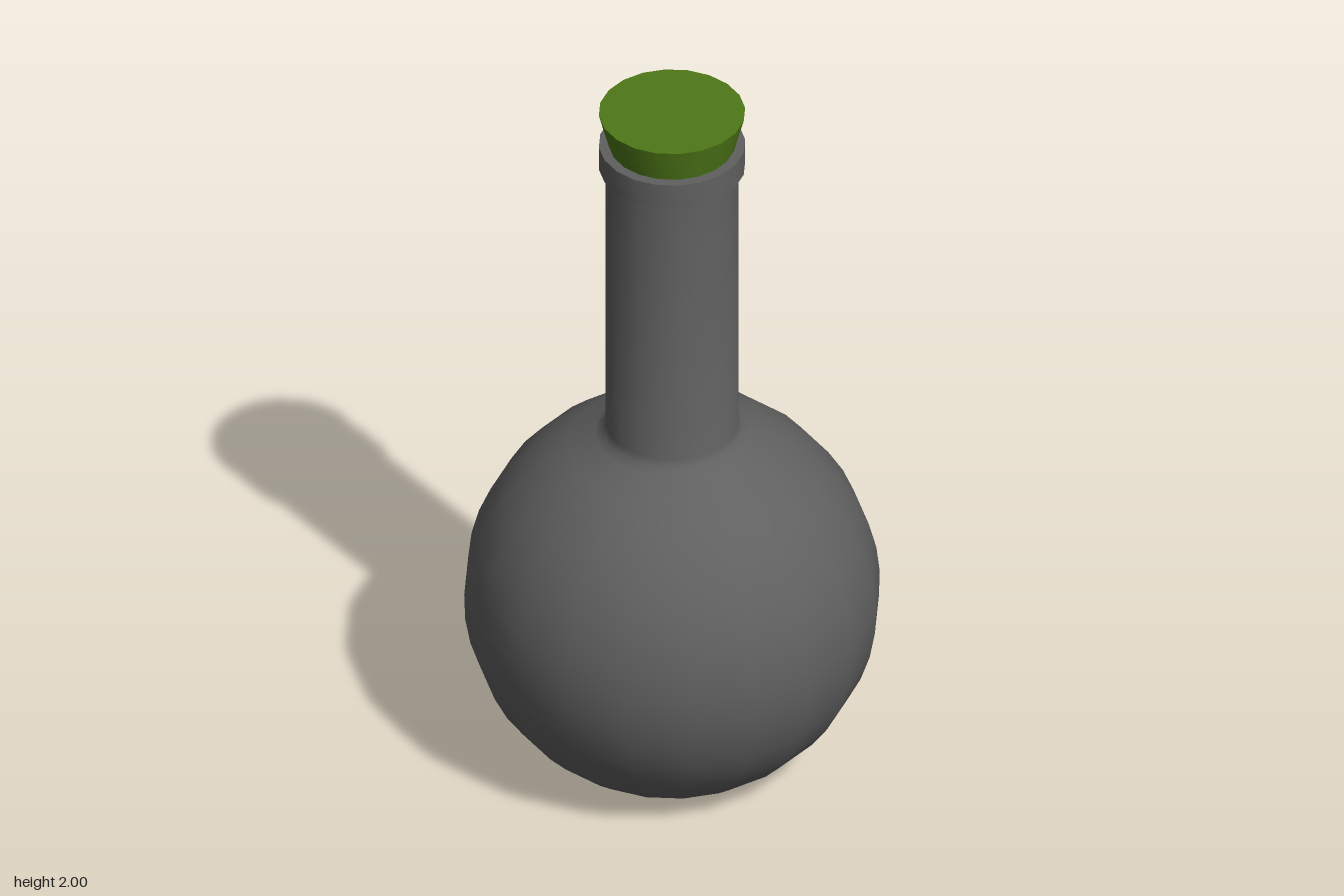
import * as THREE from 'three';
import { toCreasedNormals } from 'three/addons/utils/BufferGeometryUtils.js';

const SIDES = 20;

export function createModel() {
  const flask = new THREE.Group();
  flask.name = 'flask';
  const glass = new THREE.MeshStandardMaterial({ color: 0x606060 });
  const cork = new THREE.MeshStandardMaterial({ color: 0x4e7818 });

  // Turned part from a [radius, height] profile listed bottom to top
  function turned(name, profile, material, crease) {
    const points = profile.map(([r, y]) => new THREE.Vector2(r, y));
    const geometry = toCreasedNormals(new THREE.LatheGeometry(points, SIDES), crease);
    const mesh = new THREE.Mesh(geometry, material);
    mesh.name = name;
    flask.add(mesh);
  }

  // Round body that blends smoothly into the straight neck
  const radius = 0.54, centre = 0.484, baseRadius = 0.24, rings = 16;
  const start = -Math.acos(baseRadius / radius), end = Math.acos(0.2 / radius);
  const profile = [];
  for (let i = 0; i <= rings; i++) {
    const a = start + (end - start) * i / rings;
    profile.push([radius * Math.cos(a), centre + radius * Math.sin(a)]);
  }
  profile.push([0.18, 1.0], [0.173, 1.02], [0.173, 1.84]);
  turned('bodyAndNeck', profile, glass, 1.3);

  // Flat base with a sharp rim
  turned('base', [[0, 0], [baseRadius, 0]], glass, 0.7);

  // Collar around the mouth, with a hollow inside for the stopper
  turned('collar', [[0.17, 1.83], [0.19, 1.83], [0.19, 1.9], [0.16, 1.9], [0.15, 1.83]], glass, 0.7);

  // Tapered stopper
  turned('stopper', [[0, 1.83], [0.145, 1.83], [0.19, 2], [0, 2]], cork, 0.7);

  return flask;
}
